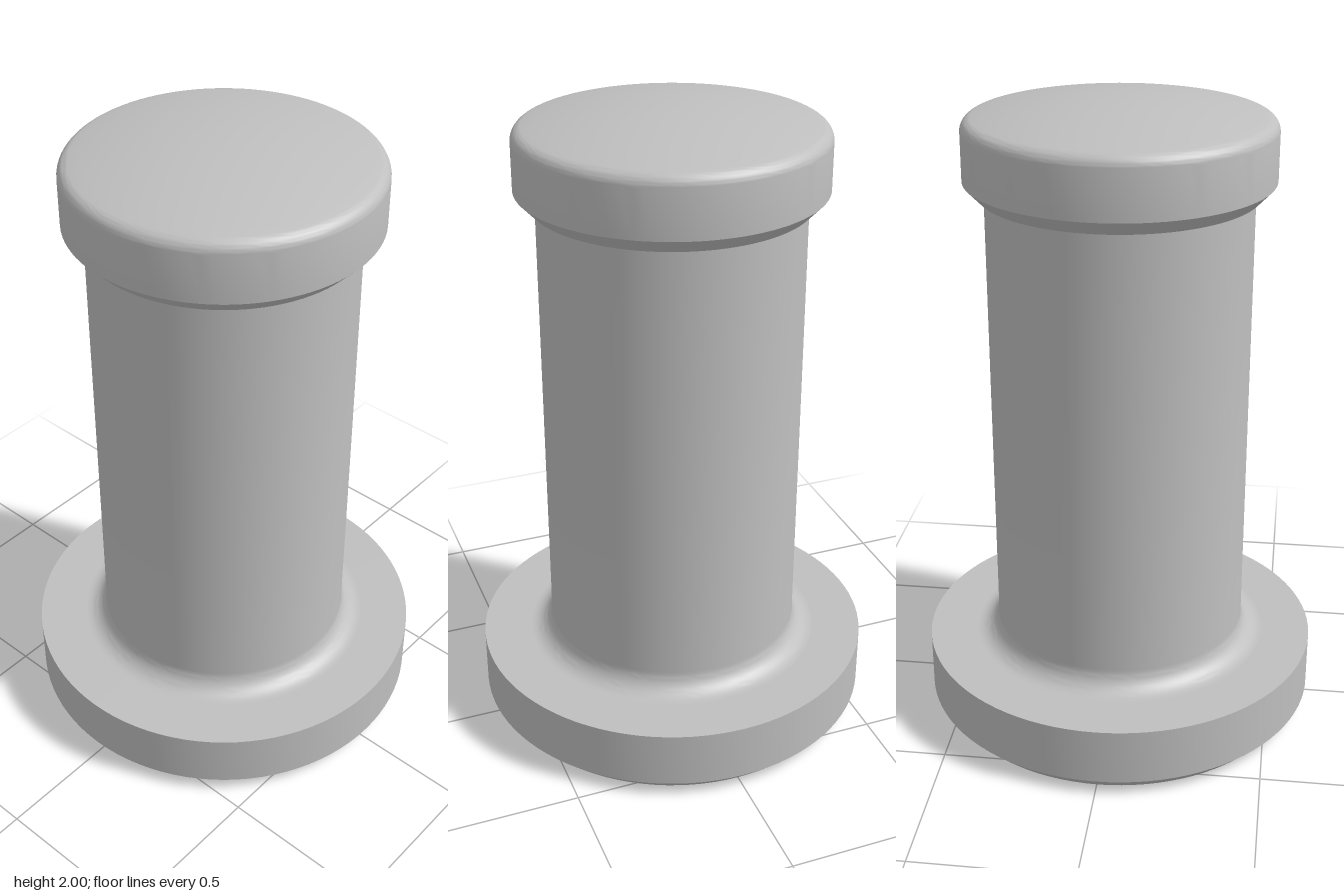
import * as THREE from 'three';
import { toCreasedNormals } from 'three/addons/utils/BufferGeometryUtils.js';

const SEGMENTS = 96;

// Points along a circular arc, angles in radians
function arc(cx, cy, r, from, to, steps) {
  return Array.from({ length: steps + 1 }, (_, i) => {
    const a = from + ((to - from) * i) / steps;
    return [cx + r * Math.cos(a), cy + r * Math.sin(a)];
  });
}

// Turned part from a bottom-to-top profile, keeping hard edges sharp
function turned(name, profile, material) {
  const points = profile.map(([r, y]) => new THREE.Vector2(Math.max(r, 0), y));
  const geometry = toCreasedNormals(new THREE.LatheGeometry(points, SEGMENTS), Math.PI / 6);
  const mesh = new THREE.Mesh(geometry, material);
  mesh.name = name;
  return mesh;
}

export function createModel() {
  const group = new THREE.Group();
  group.name = 'flangedPin';
  const grey = new THREE.MeshStandardMaterial({ color: 0xbfbfbf });
  grey.name = 'grey';

  // Base flange with a chamfered lower edge
  group.add(turned('baseFlange', [
    [0, 0], [0.588, 0], [0.633, 0.046], [0.633, 0.228], [0.475, 0.228],
  ], grey));

  // Shaft, with a concave fillet where it meets the flange
  const fillet = 0.07, shaft = 0.405;
  group.add(turned('shaft', [
    ...arc(shaft + fillet, 0.228 + fillet, fillet, Math.PI * 1.5, Math.PI, 12),
    [shaft, 1.72],
  ], grey));

  // Head: chamfered below, rounded shoulder and shallow dome above
  const headR = 0.468, round = 0.04, domeR = 1.95;
  const centre = headR - round;
  // The shoulder arc is tangent to the dome at this angle
  const tangent = Math.acos(centre / (domeR - round));
  const domeY = 2 - domeR;
  const shoulderY = domeY + (domeR - round) * Math.sin(tangent);
  group.add(turned('head', [
    [shaft, 1.72], [0.425, 1.72], [headR, 1.765],
    ...arc(centre, shoulderY, round, 0, tangent, 10),
    ...arc(0, domeY, domeR, tangent, Math.PI / 2, 16).slice(1),
  ], grey));

  return group;
}
